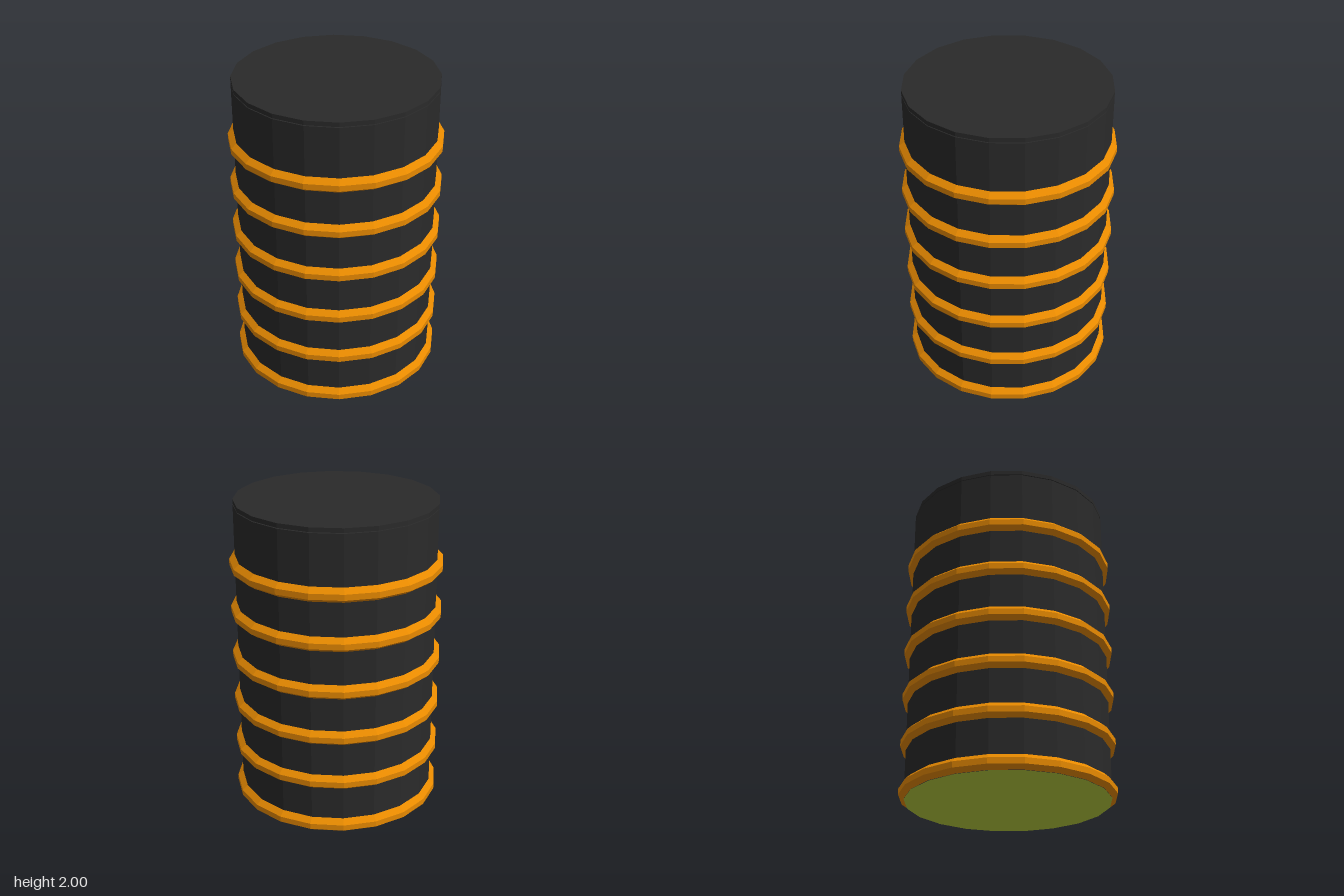
import * as THREE from 'three';

const SIDES = 20;
const R = 0.637; // body radius
const RIM = 0.672; // hoop radius

export function createModel() {
  const mat = (name, color) => {
    const m = new THREE.MeshStandardMaterial({ color, flatShading: true });
    m.name = name;
    return m;
  };
  const charcoal = mat('charcoal', 0x2a2a2a);
  const orange = mat('orange', 0xe88a00);
  const lime = mat('lime', 0xb9ce3f);

  const group = new THREE.Group();
  group.name = 'barrel';
  const add = (name, geometry, material, y) => {
    const mesh = new THREE.Mesh(geometry, material);
    mesh.name = name;
    mesh.position.y = y;
    group.add(mesh);
  };

  // Drum wall, closed at the top under the lid
  const wall = [[R, 0.003], [R, 1.967], [0, 1.967]].map(([r, y]) => new THREE.Vector2(r, y));
  add('body', new THREE.LatheGeometry(wall, SIDES), charcoal, 0);

  // Thin lid, separated by a fine seam
  add('lid', new THREE.CylinderGeometry(R, R, 0.028, SIDES), charcoal, 1.986);

  // Base plate
  const base = new THREE.CircleGeometry(R, SIDES);
  base.rotateX(Math.PI / 2);
  add('base', base, lime, 0);

  // Six bevelled hoops
  const profile = [[R, 0], [RIM, 0.025], [RIM, 0.062], [R, 0.093]]
    .map(([r, y]) => new THREE.Vector2(r, y));
  const hoop = new THREE.LatheGeometry(profile, SIDES);
  for (let i = 0; i < 6; i++) add(`hoop${i + 1}`, hoop, orange, 0.002 + i * 0.3105);

  return group;
}
